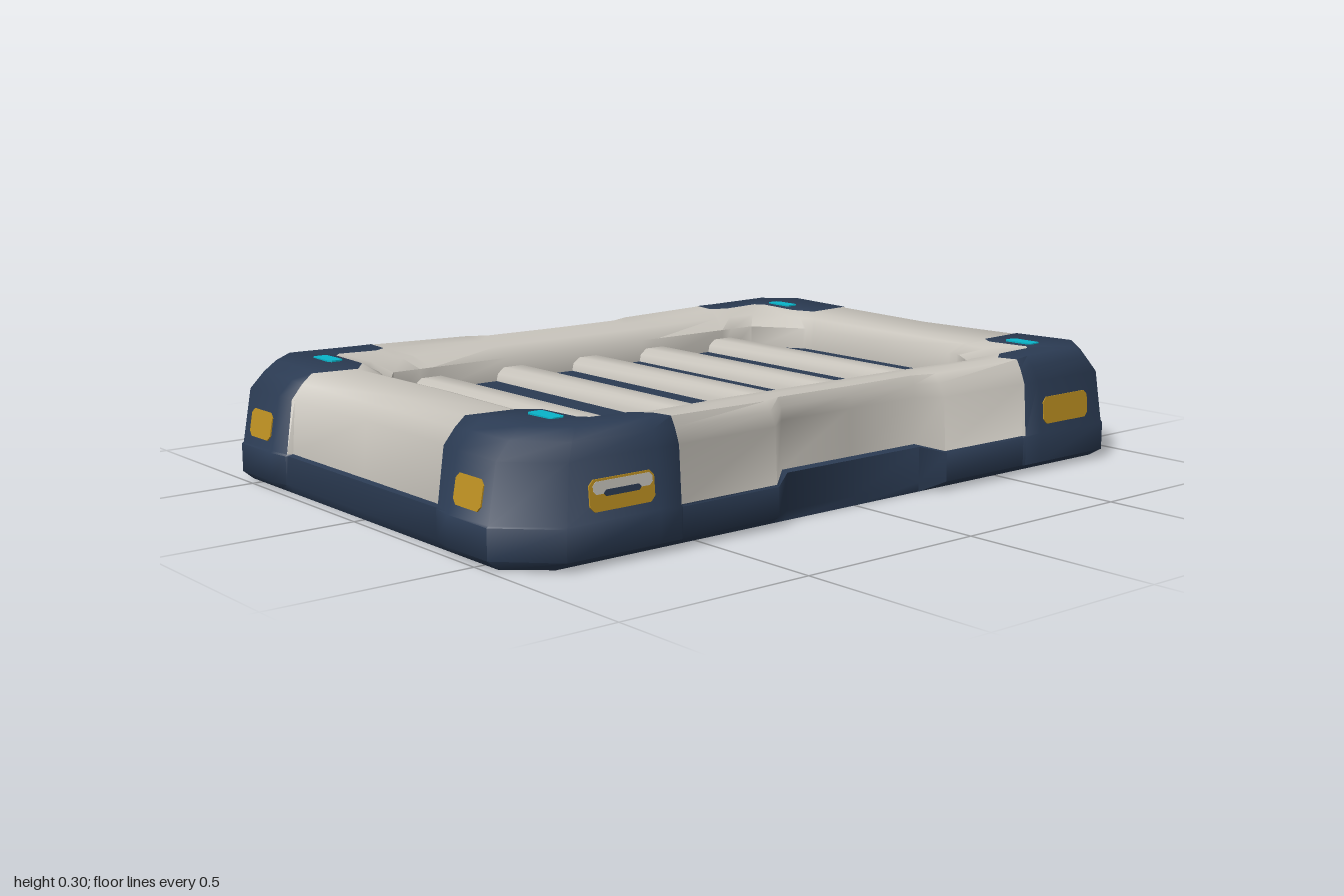
import * as THREE from 'three';
import { toCreasedNormals } from 'three/addons/utils/BufferGeometryUtils.js';

const material = (name, color) => {
  const m = new THREE.MeshStandardMaterial({ color });
  m.name = name;
  return m;
};

const FLOOR = 0.19;

// Quarter outline, front centre to side centre:
// outer x,z / rim split x,z / opening x,z / rim height / 1 = corner bumper / ledge depth
const QUARTER = [
  [0, 0.63, 0, 0.54, 0, 0.44, 0.287, 0, 0.2],
  [0.22, 0.63, 0.22, 0.54, 0.2, 0.44, 0.288, 0, 0.2],
  [0.28, 0.667, 0.28, 0.54, 0.26, 0.44, 0.289, 0, 0.05],
  [0.565, 0.668, 0.565, 0.57, 0.5, 0.44, 0.294, 0, 0.05],
  [0.57, 0.672, 0.57, 0.57, 0.505, 0.44, 0.295, 1, 0.02],
  [0.63, 0.672, 0.61, 0.54, 0.54, 0.44, 0.297, 1, 0.02],
  [0.88, 0.67, 0.72, 0.54, 0.62, 0.44, 0.3, 1, 0.02],
  [1, 0.55, 0.74, 0.52, 0.71, 0.31, 0.3, 1, 0.02],
  [1, 0.4, 0.74, 0.39, 0.712, 0.3, 0.297, 1, 0.02],
  [0.99, 0.34, 0.78, 0.34, 0.713, 0.28, 0.294, 1, 0.02],
  [0.984, 0.335, 0.78, 0.335, 0.714, 0.27, 0.292, 0, 0.06],
  [0.984, 0, 0.76, 0, 0.715, 0, 0.288, 0, 0.06],
];

function fullOutline() {
  const flip = (list, sx, sz) => list.map(([a, b, c, d, e, f, h, corner, ledge]) =>
    ({ o: [a * sx, b * sz], m: [c * sx, d * sz], i: [e * sx, f * sz], h, corner, ledge }));
  const back = [...QUARTER].reverse();
  return [
    ...flip(QUARTER, 1, 1), ...flip(back, 1, -1).slice(1),
    ...flip(QUARTER, -1, -1).slice(1), ...flip(back, -1, 1).slice(1, -1),
  ];
}

const mix = (a, b, t) => [a[0] + (b[0] - a[0]) * t, a[1] + (b[1] - a[1]) * t];

// Edge of the underside, straight along each side
const base = ([x, z]) =>
  [THREE.MathUtils.clamp(x, -0.972, 0.972), THREE.MathUtils.clamp(z, -0.63, 0.63)];

// Cross-section from the underside, up the outer wall, over the rim, down to the floor
function section({ o, m, i, h, ledge }) {
  const bandTop = ledge > 0.1 ? 0.115 : 0.097;
  return [
    [base(o), 0.002], [o, 0.025], [o, bandTop], [mix(o, m, ledge), bandTop + 0.004],
    [mix(o, m, Math.max(0.11, ledge + 0.04)), 0.235],
    [mix(o, m, 0.25), 0.235 + (h - 0.235) * 0.6], [mix(o, m, 0.38), h],
    [m, h - 0.003], [mix(m, i, 0.6), 0.277], [i, 0.25], [i, FLOOR - 0.005],
  ].map(([p, y]) => [p[0], y, p[1]]);
}

function ringGeometry(outline) {
  const rows = 11, n = outline.length;
  const positions = outline.flatMap((s) => section(s).flat());
  const light = [], dark = [];
  for (let s = 0; s < n; s++) {
    const t = (s + 1) % n;
    const corner = outline[s].corner && outline[t].corner;
    for (let r = 0; r < rows - 1; r++) {
      const a = s * rows + r, b = t * rows + r;
      const list = r < 3 || (corner && r < 7) ? dark : light;
      list.push(a, b, b + 1, a, b + 1, a + 1);
    }
  }
  const g = new THREE.BufferGeometry();
  g.setAttribute('position', new THREE.Float32BufferAttribute(positions, 3));
  g.setIndex([...light, ...dark]);
  g.addGroup(0, light.length, 0);
  g.addGroup(light.length, dark.length, 1);
  return toCreasedNormals(g, 1.05);
}

// Flat sheet filling a horizontal outline
function sheet(points, y, up) {
  const g = new THREE.ShapeGeometry(new THREE.Shape(
    points.map(([x, z]) => new THREE.Vector2(x, up ? -z : z))));
  g.rotateX(up ? -Math.PI / 2 : Math.PI / 2);
  return g.translate(0, y, 0);
}

// Thin plate with clipped corners, facing +z
function plate(w, h, c = 0.012) {
  const x = w / 2, y = h / 2;
  const pts = [[-x + c, -y], [x - c, -y], [x, -y + c], [x, y - c],
    [x - c, y], [-x + c, y], [-x, y - c], [-x, -y + c]];
  const shape = new THREE.Shape(pts.map((p) => new THREE.Vector2(...p)));
  const depth = 0.004;
  return new THREE.ExtrudeGeometry(shape, { depth, bevelEnabled: false }).translate(0, 0, -depth / 2);
}

export function createModel() {
  const model = new THREE.Group();
  const grey = material('warm grey', 0xc8c4bc);
  const navy = material('navy', 0x2b3b53);
  const gold = material('gold', 0xbe9122);
  const cyan = material('cyan', 0x08b4ca);
  const add = (name, geometry, mat, parent = model) => {
    const mesh = new THREE.Mesh(geometry, mat);
    mesh.name = name;
    parent.add(mesh);
    return mesh;
  };

  // Frame with corner bumpers and lower band
  const outline = fullOutline();
  add('frame', ringGeometry(outline), [grey, navy]);
  add('underside', sheet(outline.map((s) => base(s.o)), 0.002, false), grey);
  add('trayFloor', sheet(outline.map((s) => s.i), FLOOR, true), navy);

  // Low slats across the tray
  const profile = new THREE.Shape([[-0.056, FLOOR - 0.005], [0.056, FLOOR - 0.005], [0.05, 0.21],
    [0.03, 0.225], [-0.03, 0.225], [-0.05, 0.21]].map((p) => new THREE.Vector2(...p)));
  for (const x of [-0.505, -0.245, 0.008, 0.247, 0.505]) {
    const g = new THREE.ExtrudeGeometry(profile, { depth: 0.9, bevelEnabled: false });
    add('slat', toCreasedNormals(g.translate(x, 0, -0.45), 1.05), grey);
  }

  // Markers on every corner
  for (const sx of [-1, 1]) for (const sz of [-1, 1]) {
    const long = new THREE.Group();
    long.name = 'longSideMarker';
    long.rotation.set(-0.09, sz > 0 ? 0 : Math.PI, 0, 'YXZ');
    long.position.set(sx * 0.73, 0.157, sz * 0.6645);
    model.add(long);
    add('markerPlate', plate(0.175, 0.07), gold, long);
    if (sx < 0 && sz > 0) {
      // Slot in one front marker
      add('markerSlot', plate(0.16, 0.028, 0.008), grey, long).position.set(0.002, 0.016, 0.001);
      add('markerGap', plate(0.1, 0.014, 0.006), navy, long).position.set(0, 0.003, 0.002);
    }

    const short = new THREE.Group();
    short.name = 'shortSideMarker';
    short.rotation.set(-0.18, sx * Math.PI / 2, 0, 'YXZ');
    short.position.set(sx * 0.9865, 0.157, sz * 0.465);
    model.add(short);
    add('markerPlate', plate(0.105, 0.07), gold, short);

    const lamp = add('topLight', plate(0.04, 0.09, 0.006), cyan);
    lamp.rotation.x = -Math.PI / 2;
    lamp.position.set(sx * 0.785, 0.2985, sz * 0.475 - 0.008);
  }
  return model;
}
